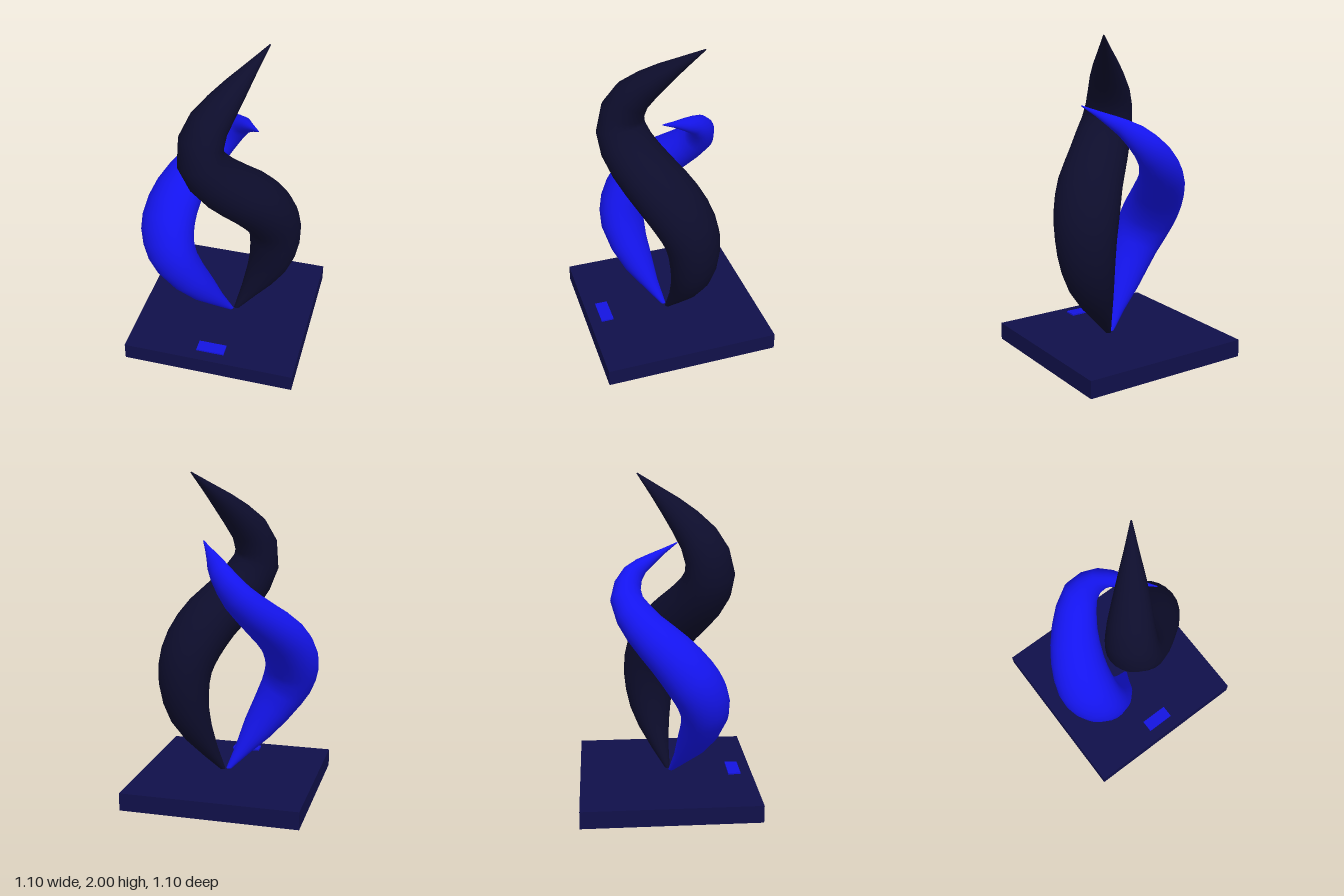
import * as THREE from 'three';

const material = (color) => new THREE.MeshStandardMaterial({ color, side: THREE.DoubleSide });

// Tapered, slightly flattened ribbon swept through stations [x, y, z, radius].
// "wide" is the horizontal direction of the broader axis of the section.
function strand(name, stations, wide, color, steps = 20, sides = 24) {
  const path = new THREE.CatmullRomCurve3(stations.map(([x, y, z]) => new THREE.Vector3(x, y, z)));
  const taper = new THREE.SplineCurve(stations.map((s, i) => new THREE.Vector2(i, s[3])));
  const positions = [];
  const indices = [];
  for (let i = 0; i <= steps; i++) {
    const t = i / steps;
    const center = path.getPoint(t);
    const tangent = path.getTangent(t);
    const radius = Math.max(taper.getPoint(t).y, 0.003);
    const u = wide.clone().addScaledVector(tangent, -wide.dot(tangent)).normalize();
    const v = tangent.clone().cross(u);
    for (let j = 0; j < sides; j++) {
      const a = (j / sides) * Math.PI * 2;
      const p = center.clone()
        .addScaledVector(u, Math.cos(a) * radius * 1.08)
        .addScaledVector(v, Math.sin(a) * radius * 0.93);
      positions.push(p.x, p.y, p.z);
      if (i < steps) {
        const k = (j + 1) % sides;
        const p0 = i * sides + j, p1 = i * sides + k;
        indices.push(p0, p1, p0 + sides, p1, p1 + sides, p0 + sides);
      }
    }
  }
  const geometry = new THREE.BufferGeometry();
  geometry.setAttribute('position', new THREE.Float32BufferAttribute(positions, 3));
  geometry.setIndex(indices);
  geometry.computeVertexNormals();
  const mesh = new THREE.Mesh(geometry, material(color));
  mesh.name = name;
  return mesh;
}

function block(name, size, position, color) {
  const mesh = new THREE.Mesh(new THREE.BoxGeometry(...size), material(color));
  mesh.name = name;
  mesh.position.set(...position);
  return mesh;
}

export function createModel() {
  const group = new THREE.Group();
  group.name = 'twistedSculpture';

  // Square plinth with a small plaque near its front edge
  group.add(block('base', [1.1, 0.11, 1.1], [0, 0.055, 0], 0x10104a));
  group.add(block('plaque', [0.18, 0.02, 0.08], [0, 0.11, 0.437], 0x1414e0));

  // Tall dark strand
  group.add(strand('tallStrand', [
    [0.05, 0.1, 0.02, 0.012],
    [0.16, 0.3, -0.045, 0.078],
    [0.24, 0.47, -0.08, 0.13],
    [0.275, 0.62, -0.088, 0.158],
    [0.28, 0.76, -0.08, 0.173],
    [0.26, 0.87, -0.05, 0.184],
    [0.215, 0.98, 0.005, 0.19],
    [0.145, 1.09, 0.08, 0.188],
    [0.045, 1.2, 0.165, 0.178],
    [-0.045, 1.32, 0.235, 0.166],
    [-0.105, 1.46, 0.26, 0.148],
    [-0.08, 1.61, 0.21, 0.128],
    [0, 1.74, 0.11, 0.097],
    [0.09, 1.86, -0.01, 0.056],
    [0.2, 2.0, -0.16, 0.004],
  ], new THREE.Vector3(0.67, 0, 0.74), 0x0d0d2c));

  // Shorter blue strand
  group.add(strand('shortStrand', [
    [0.03, 0.1, 0.03, 0.012],
    [-0.14, 0.36, 0.155, 0.1],
    [-0.285, 0.6, 0.218, 0.148],
    [-0.345, 0.74, 0.19, 0.163],
    [-0.36, 0.86, 0.12, 0.166],
    [-0.325, 1.0, 0, 0.152],
    [-0.235, 1.13, -0.14, 0.128],
    [-0.105, 1.28, -0.242, 0.1],
    [0.01, 1.41, -0.2, 0.068],
    [0.09, 1.485, -0.085, 0.038],
    [0.2, 1.57, 0.09, 0.003],
  ], new THREE.Vector3(0.83, 0, 0.55), 0x1414ee));

  return group;
}
